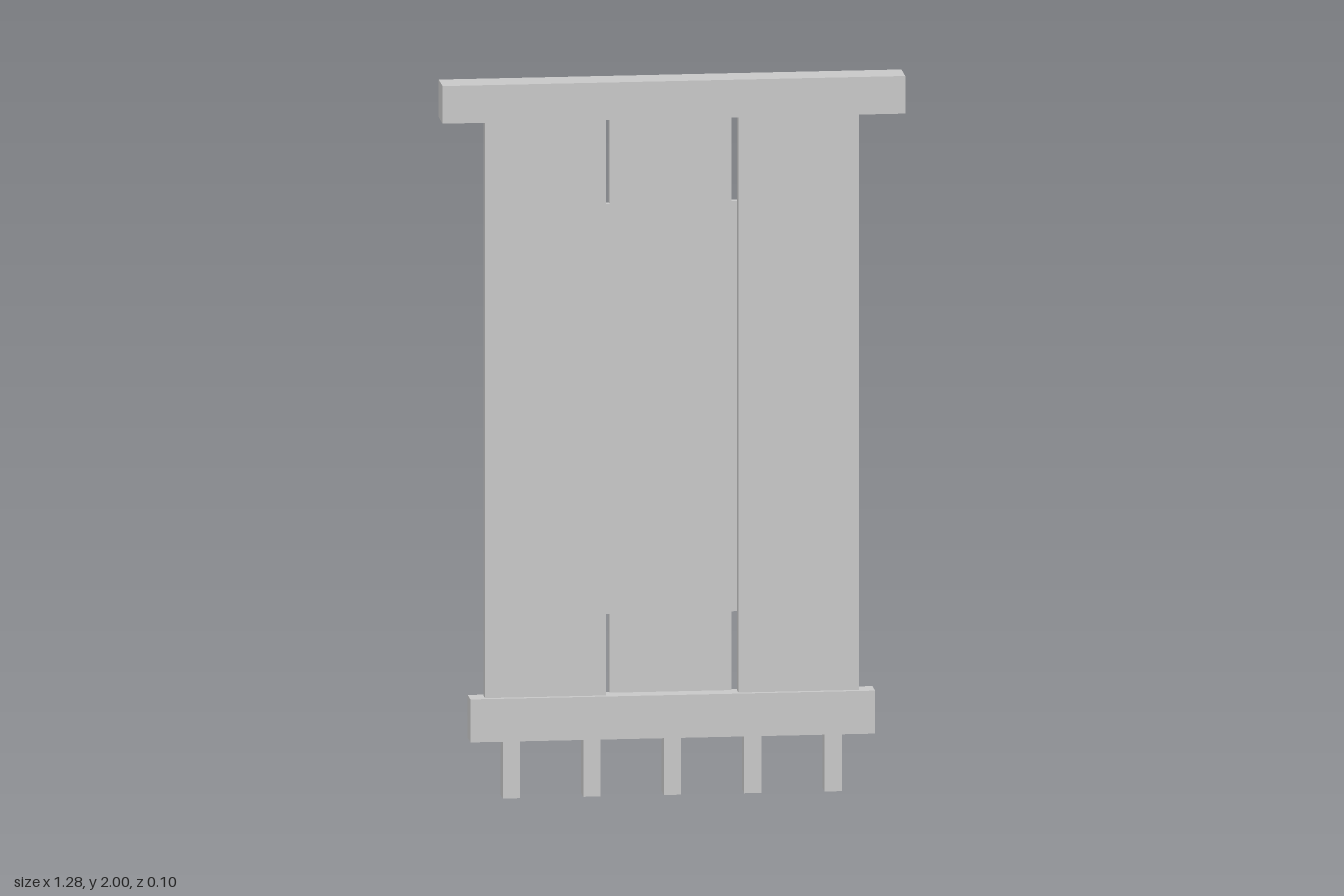
import * as THREE from 'three';

const material = new THREE.MeshStandardMaterial({ color: 0xcccccc, flatShading: true });

// Box given by its low and high corners
function block(name, [x0, y0, z0], [x1, y1, z1]) {
  const mesh = new THREE.Mesh(new THREE.BoxGeometry(x1 - x0, y1 - y0, z1 - z0), material);
  mesh.position.set((x0 + x1) / 2, (y0 + y1) / 2, (z0 + z1) / 2);
  mesh.name = name;
  return mesh;
}

export function createModel() {
  const model = new THREE.Group();
  model.name = 'panelScreen';

  // Horizontal rails
  model.add(block('topRail', [-0.638, 1.895, -0.042], [0.638, 2, 0.052]));
  model.add(block('bottomRail', [-0.558, 0.16, -0.042], [0.558, 0.28, 0.023]));

  // Side panels between the rails
  model.add(block('rightPanel', [-0.516, 0.28, -0.029], [-0.183, 1.895, 0.008]));
  model.add(block('leftPanel', [0.183, 0.28, -0.029], [0.516, 1.895, 0.008]));

  // Back panel: a tall strip with a wider middle that overlaps the side panels
  const half = [[0.168, 0.232], [0.168, 0.5], [0.235, 0.5], [0.235, 1.645], [0.168, 1.645], [0.168, 1.913]];
  const outline = [...half, ...half.map(([x, y]) => [-x, y]).reverse()];
  const shape = new THREE.Shape(outline.map(([x, y]) => new THREE.Vector2(x, y)));
  const backPanel = new THREE.Mesh(
    new THREE.ExtrudeGeometry(shape, { depth: 0.023, bevelEnabled: false }), material);
  backPanel.position.z = -0.052;
  backPanel.name = 'backPanel';
  model.add(backPanel);

  // Row of five square pegs
  for (let i = -2; i <= 2; i++) {
    const x = i * 0.222;
    model.add(block('peg', [x - 0.024, 0, -0.033], [x + 0.024, 0.16, 0.016]));
  }
  return model;
}
